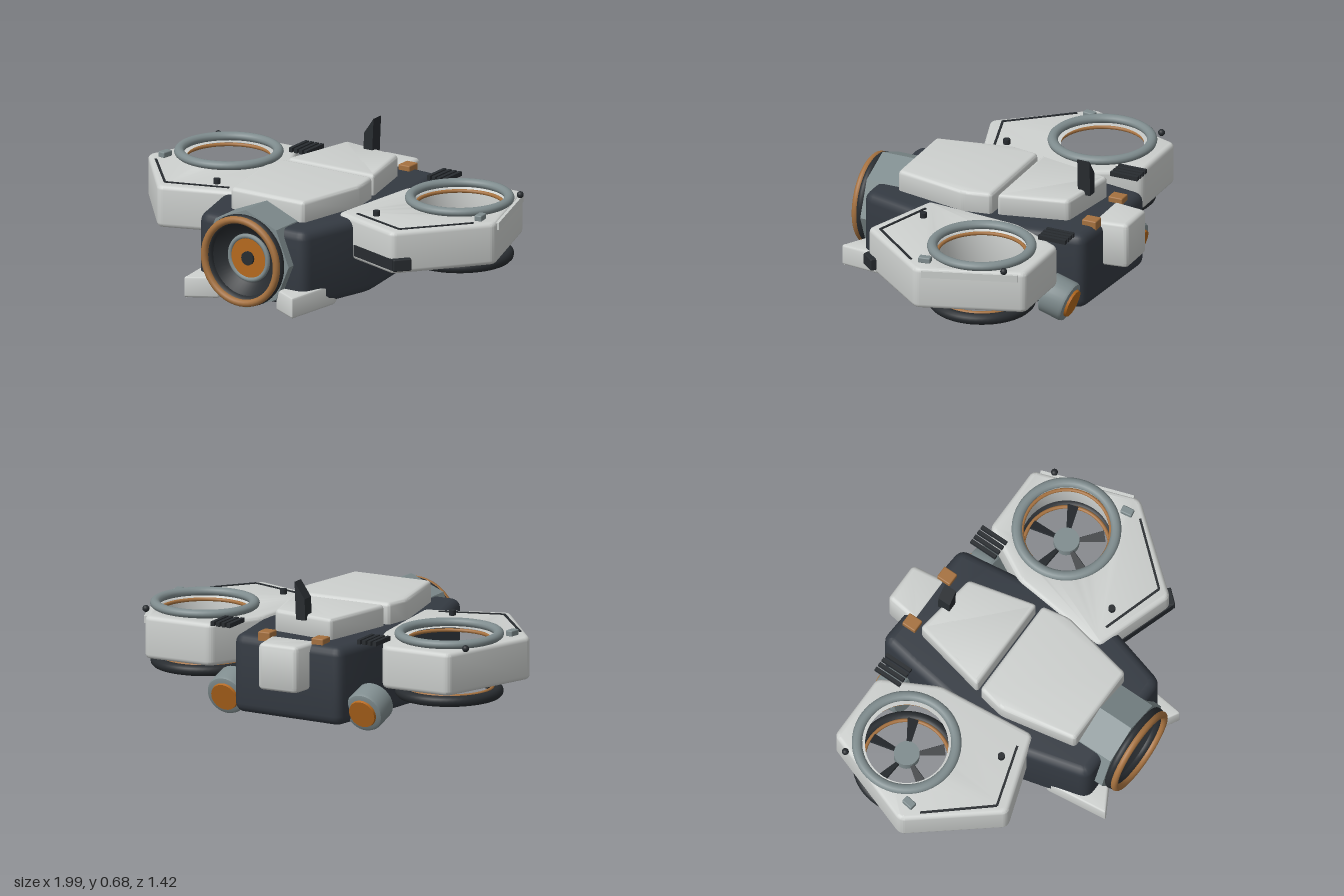
import * as THREE from 'three';
import { toCreasedNormals } from 'three/addons/utils/BufferGeometryUtils.js';
import { RoundedBoxGeometry } from 'three/addons/geometries/RoundedBoxGeometry.js';

const mat = (name, color) => {
  const m = new THREE.MeshStandardMaterial({ color });
  m.name = name;
  return m;
};

export function createModel() {
  const white = mat('panel white', 0xcdd0ce);
  const hullDark = mat('hull slate', 0x343a42);
  const black = mat('trim black', 0x282c30);
  const grey = mat('steel grey', 0x7f8c8e);
  const copper = mat('copper', 0xa5713f);
  const orange = mat('glow orange', 0xb5691e);

  const model = new THREE.Group();
  model.name = 'hoverCraft';

  const add = (name, geo, material, pos = [0, 0, 0], rot = [0, 0, 0]) => {
    const m = new THREE.Mesh(geo, material);
    m.name = name;
    m.position.set(...pos);
    m.rotation.set(...rot);
    model.add(m);
    return m;
  };
  const box = (name, size, material, pos, rot, r = 0.006) =>
    add(name, new RoundedBoxGeometry(...size, 2, r), material, pos, rot);

  // Polygon with rounded corners
  const roundedShape = (pts, r) => {
    const shape = new THREE.Shape();
    const v = pts.map(p => new THREE.Vector2(...p));
    v.forEach((p, i) => {
      const toward = q => p.clone().add(q.clone().sub(p).setLength(r));
      const a = toward(v[(i + v.length - 1) % v.length]);
      const b = toward(v[(i + 1) % v.length]);
      if (i) shape.lineTo(a.x, a.y); else shape.moveTo(a.x, a.y);
      shape.quadraticCurveTo(p.x, p.y, b.x, b.y);
    });
    shape.closePath();
    return shape;
  };

  // Horizontal slab from an (x, z) outline, between heights y0 and y1
  const slab = (name, pts, y0, y1, bevel, radius, material, hole) => {
    const shape = roundedShape(pts, radius);
    if (hole) shape.holes.push(new THREE.Path().absarc(hole[0], hole[1], hole[2], 0, Math.PI * 2, true));
    const geo = new THREE.ExtrudeGeometry(shape, {
      depth: y1 - y0 - 2 * bevel, bevelEnabled: true, bevelSize: bevel, bevelThickness: bevel,
      bevelOffset: -bevel, bevelSegments: 4, curveSegments: hole ? 24 : 6
    });
    geo.rotateX(Math.PI / 2).translate(0, y1 - bevel, 0);
    return add(name, toCreasedNormals(geo, 0.6), material);
  };

  // Straight bar between two (x, z) points
  const bar = (name, a, b, y, width, height, material) => {
    const dx = b[0] - a[0], dz = b[1] - a[1];
    return add(name, new THREE.BoxGeometry(Math.hypot(dx, dz), height, width), material,
      [(a[0] + b[0]) / 2, y, (a[1] + b[1]) / 2], [0, -Math.atan2(dz, dx), 0]);
  };

  // Hull and top armour
  slab('hull', [[-0.29, -0.615], [0.31, -0.575], [0.33, -0.42], [0.42, 0.18], [0.305, 0.6],
    [-0.3, 0.6], [-0.41, 0.18], [-0.325, -0.42]], 0.035, 0.42, 0.045, 0.05, hullDark);
  slab('frontPanel', [[-0.26, -0.06], [0.26, -0.06], [0.285, 0.08], [0.21, 0.46],
    [-0.21, 0.46], [-0.285, 0.08]], 0.4, 0.525, 0.02, 0.02, white);
  slab('rearPanel', [[-0.25, -0.085], [0.25, -0.085], [0.165, -0.425], [-0.165, -0.475]],
    0.4, 0.525, 0.02, 0.02, white);
  slab('tailBlock', [[-0.13, -0.53], [0.13, -0.53], [0.105, -0.71], [-0.105, -0.71]],
    0.195, 0.425, 0.025, 0.025, white);

  // Antenna fin with a slanted tip
  const fin = new THREE.Shape([[-0.025, 0.5], [0.025, 0.5], [0.033, 0.685], [-0.022, 0.605]]
    .map(p => new THREE.Vector2(...p)));
  add('antennaFin', new THREE.ExtrudeGeometry(fin, { depth: 0.065, bevelEnabled: false }),
    black, [0, 0, -0.472]);

  // Nose engine
  const cy = 0.25;
  const octagon = new THREE.Shape(Array.from({ length: 8 }, (_, i) =>
    new THREE.Vector2(0.247 * Math.cos(i * Math.PI / 4), 0.247 * Math.sin(i * Math.PI / 4))));
  octagon.holes.push(new THREE.Path().absarc(0, 0, 0.19, 0, Math.PI * 2, true));
  add('engineHousing', new THREE.ExtrudeGeometry(octagon, { depth: 0.2, bevelEnabled: false, curveSegments: 20 }),
    grey, [0, cy, 0.443]);
  add('engineCollar', new THREE.TorusGeometry(0.203, 0.025, 12, 48), black, [0, cy, 0.66]);
  add('engineLip', new THREE.TorusGeometry(0.207, 0.018, 12, 48), copper, [0, cy, 0.688]);
  const cone = [[0.11, 0.605], [0.13, 0.608], [0.175, 0.65], [0.2, 0.69]].map(p => new THREE.Vector2(...p));
  const funnel = add('engineFunnel', new THREE.LatheGeometry(cone, 48), black, [0, cy, 0], [Math.PI / 2, 0, 0]);
  funnel.material = mat('funnel black', 0x282c30);
  funnel.material.side = THREE.DoubleSide;
  add('engineCoreRing', new THREE.TorusGeometry(0.108, 0.012, 10, 40), grey, [0, cy, 0.615]);
  add('engineCore', new THREE.CylinderGeometry(0.103, 0.103, 0.03, 40), orange, [0, cy, 0.605], [Math.PI / 2, 0, 0]);
  add('engineHub', new THREE.CylinderGeometry(0.034, 0.034, 0.02, 16), black, [0, cy, 0.622], [Math.PI / 2, 0, 0]);

  for (const s of [-1, 1]) {
    const side = s > 0 ? 'left' : 'right';
    const n = part => side + part;
    const flip = pts => pts.map(([x, z]) => [x * s, z]);
    const fx = 0.665 * s, fz = -0.205;

    // Wing pod with a fan duct
    slab(n('Wing'), flip([[0.47, -0.515], [0.825, -0.515], [1.002, -0.01], [0.675, 0.395],
      [0.275, 0.26], [0.325, -0.24]]), 0.225, 0.435, 0.022, 0.03, white, [fx, fz, 0.222]);
    const ring = (part, R, t, y, material, squash = 1) =>
      add(n(part), new THREE.TorusGeometry(R, t, 12, 56).rotateX(Math.PI / 2).scale(1, squash, 1), material, [fx, y, fz]);
    ring('UpperFanRing', 0.238, 0.025, 0.455, grey, 0.85);
    ring('LowerFanRing', 0.234, 0.027, 0.175, black);
    ring('UpperFanTrim', 0.213, 0.009, 0.42, copper);
    ring('LowerFanTrim', 0.208, 0.009, 0.195, copper);

    // Five-bladed rotor
    add(n('RotorHub'), new THREE.CylinderGeometry(0.062, 0.062, 0.05, 24), grey, [fx, 0.28, fz]);
    const blade = new THREE.Shape([[0.055, -0.009], [0.185, -0.027], [0.185, 0.027], [0.055, 0.009]]
      .map(p => new THREE.Vector2(...p)));
    for (let i = 0; i < 5; i++) {
      const geo = new THREE.ExtrudeGeometry(blade, { depth: 0.01, bevelEnabled: false })
        .translate(0, 0, -0.005).rotateX(Math.PI / 2 + 0.4);
      add(n('RotorBlade'), geo, black, [fx, 0.28, fz], [0, 1.7 + i * Math.PI * 0.4, 0]);
    }

    // Wing surface details
    const lines = flip([[0.915, 0.05], [0.675, 0.33], [0.37, 0.235]]);
    bar(n('SeamOuter'), lines[0], lines[1], 0.436, 0.011, 0.008, black);
    bar(n('SeamInner'), lines[1], lines[2], 0.436, 0.011, 0.008, black);
    add(n('WingCap'), new THREE.CylinderGeometry(0.017, 0.017, 0.03, 16), black, [0.46 * s, 0.445, 0.205]);
    add(n('MarkerBall'), new THREE.SphereGeometry(0.017, 16, 10), black, [0.87 * s, 0.448, -0.42]);
    box(n('WingLatch'), [0.038, 0.03, 0.06], grey, [0.908 * s, 0.447, -0.02], [0, 0.15 * s, 0]);

    // Cooling fins beside the hull
    for (let i = 0; i < 4; i++)
      add(n('CoolingFin'), new THREE.BoxGeometry(0.018, 0.022, 0.145), black, [(0.354 + i * 0.029) * s, 0.447, -0.472]);

    // Rear thruster, tipped slightly downward
    const tilt = [-Math.PI / 2 - 0.3, 0, 0];
    const profile = [[0, -0.07], [0.09, -0.07], [0.1, -0.06], [0.1, 0.045], [0.095, 0.057], [0.082, 0.062], [0, 0.062]]
      .map(p => new THREE.Vector2(...p));
    add(n('Thruster'), toCreasedNormals(new THREE.LatheGeometry(profile, 32), 0.7), grey, [0.375 * s, 0.115, -0.48], tilt);
    add(n('ThrusterGlow'), new THREE.CylinderGeometry(0.068, 0.072, 0.016, 32), orange,
      [0.375 * s, 0.096, -0.543], tilt);

    // Landing skid and rear clip
    slab(n('Skid'), flip([[0.35, 0.4], [0.312, 0.712], [0.165, 0.63], [0.165, 0.25], [0.29, 0.25]]),
      0.02, 0.125, 0.012, 0.012, white);
    box(n('RearClip'), [0.065, 0.05, 0.075], copper, [0.145 * s, 0.422, -0.538]);
  }

  // Details found on the left wing only
  bar('leadingEdgeStrip', [0.4, 0.297], [0.69, 0.395], 0.275, 0.02, 0.055, black);
  box('leadingEdgeCap', [0.09, 0.06, 0.035], black, [0.712, 0.275, 0.365], [0, 0.85, 0]);
  bar('trailingEdgePlate', [0.99, -0.04], [0.838, -0.48], 0.41, 0.02, 0.035, white);

  return model;
}
